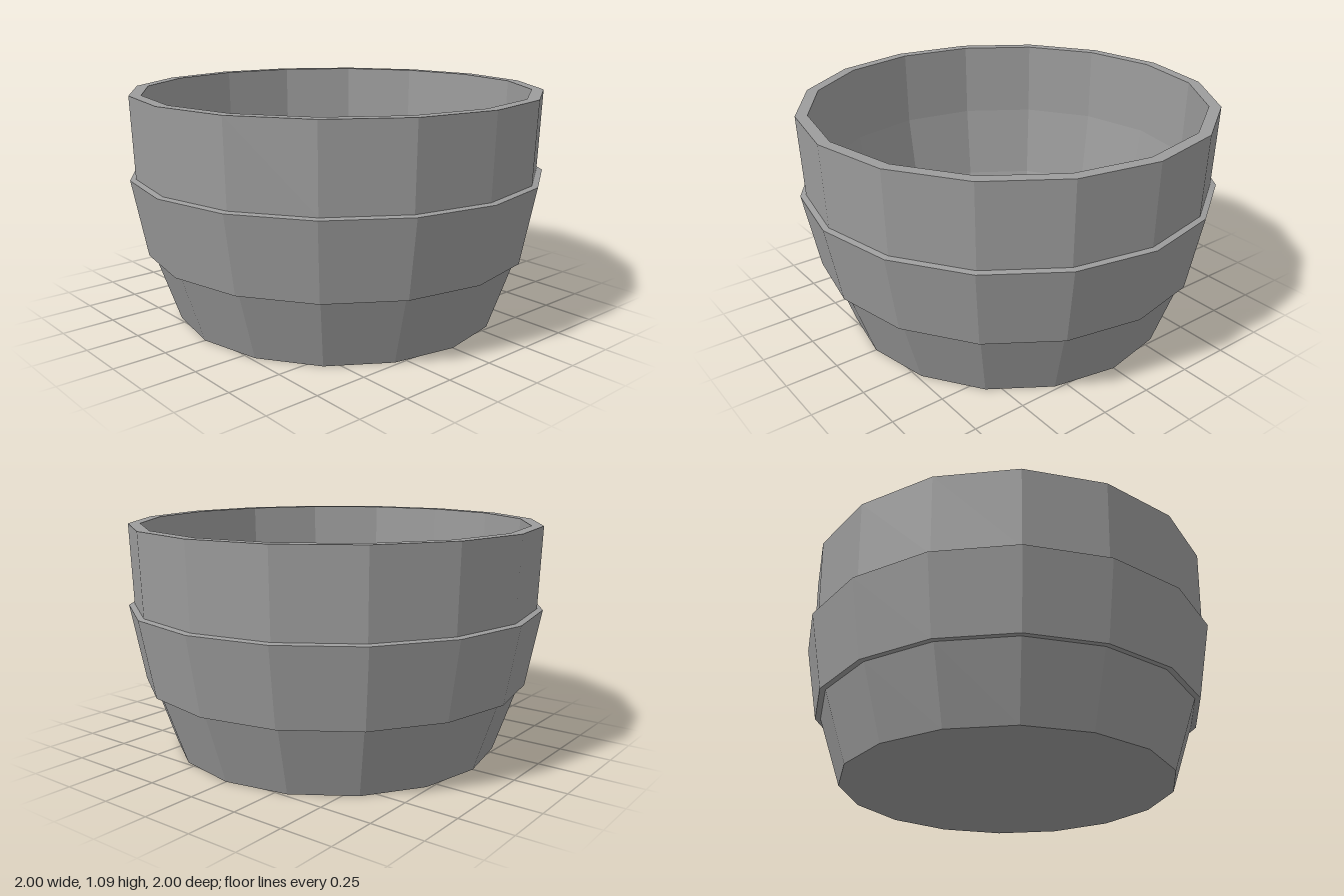
import * as THREE from 'three';

const SIDES = 16;

// Faceted ring or bowl from a [radius, height] profile
function lathe(name, profile, material) {
  const points = profile.map(([r, y]) => new THREE.Vector2(r, y));
  const mesh = new THREE.Mesh(new THREE.LatheGeometry(points, SIDES), material);
  mesh.name = name;
  return mesh;
}

export function createModel() {
  const group = new THREE.Group();
  group.name = 'bowl';
  const material = new THREE.MeshStandardMaterial({ color: 0x9c9c9c, flatShading: true });

  // Outer shell: tapered base, flared band with ledges, upright collar
  group.add(lathe('outerShell', [
    [0, 0], [0.793, 0],
    [0.906, 0.333], [0.932, 0.333],
    [1, 0.7], [0.973, 0.705],
    [0.986, 1.09],
  ], material));

  // Flat rim joining the outer and inner walls
  group.add(lathe('rim', [[0.986, 1.09], [0.93, 1.09]], material));

  // Inner wall following the outer steps, down to the flat floor
  group.add(lathe('innerWall', [
    [0.93, 1.09], [0.92, 0.72], [0.863, 0.353], [0.773, 0.06], [0, 0.06],
  ], material));

  return group;
}
